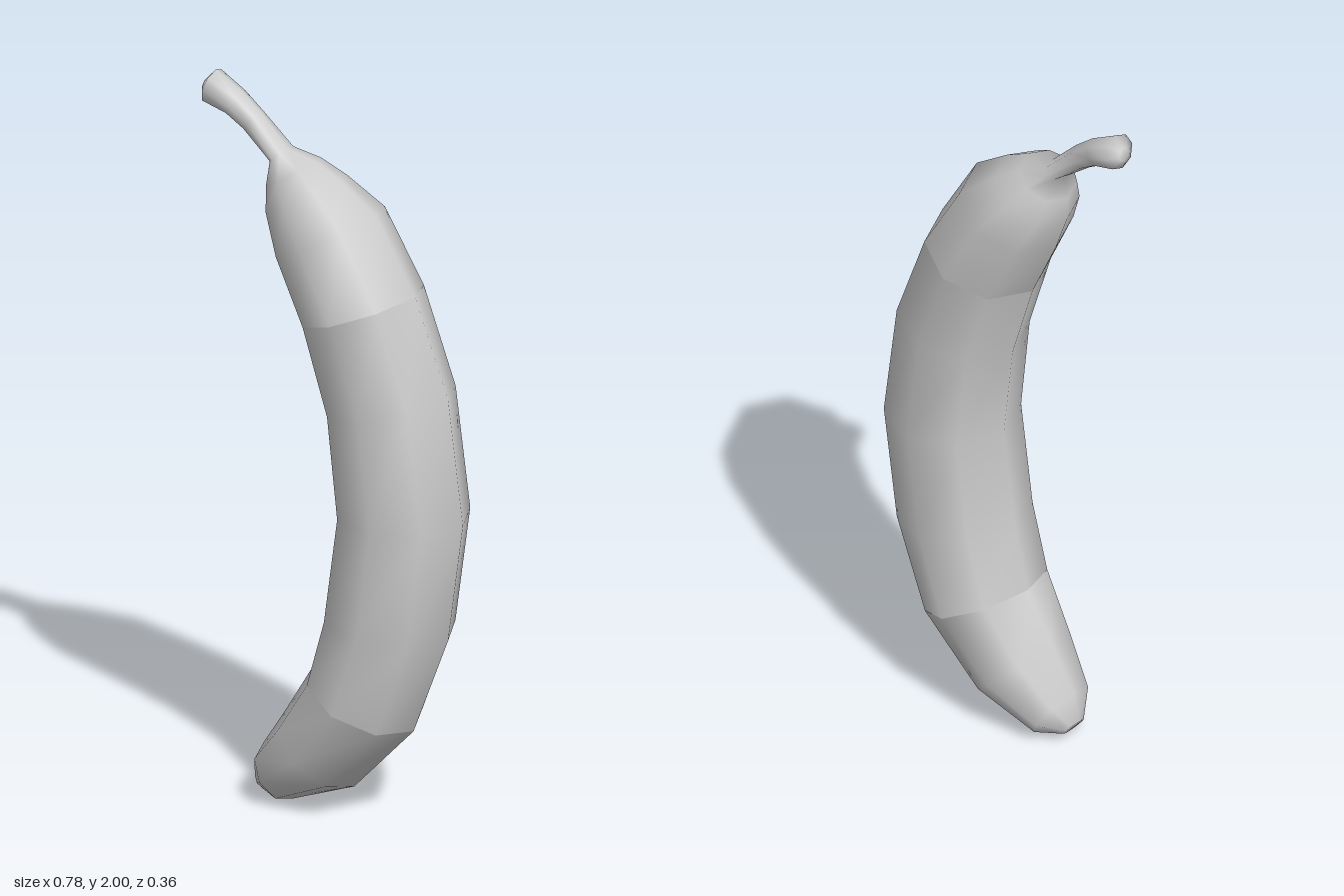
import * as THREE from 'three';

const SIDES = 8;
const material = new THREE.MeshStandardMaterial({ color: 0xcccccc, roughness: 0.8 });

// Each ring: [innerX, innerY, outerX, outerY, optional half width in z], listed bottom to top
const lowerSeam = [-0.055, 0.4, 0.24, 0.26, 0.175];
const upperSeam = [-0.07, 1.365, 0.245, 1.48, 0.175];

const bottomRings = [
  [-0.232, 0.06, -0.198, 0.014, 0.035],
  [-0.215, 0.14, -0.125, 0, 0.1],
  [-0.145, 0.25, 0.06, 0.07, 0.145],
  lowerSeam,
];
const bodyRings = [
  lowerSeam,
  [-0.01, 0.575, 0.345, 0.535],
  [0.03, 0.865, 0.39, 0.865],
  [0, 1.135, 0.345, 1.21],
  upperSeam,
];
const topRings = [
  upperSeam,
  [-0.15, 1.54, 0.125, 1.685, 0.165],
  [-0.19, 1.65, 0.02, 1.76, 0.12],
  [-0.193, 1.72, -0.055, 1.8, 0.085],
  [-0.182, 1.785, -0.14, 1.82, 0.05],
  [-0.268, 1.855, -0.222, 1.905, 0.038],
  [-0.318, 1.887, -0.282, 1.955, 0.042],
  [-0.385, 1.908, -0.36, 2, 0.052],
  [-0.393, 1.935, -0.387, 1.972, 0.02],
];

// Skin a row of octagonal rings, optionally closing either end
function skin(name, rings, capStart, capEnd) {
  const positions = [];
  const index = [];
  const center = ([ix, iy, ox, oy]) => [(ix + ox) / 2, (iy + oy) / 2, 0];

  for (const ring of rings) {
    const [ix, iy, ox, oy, width] = ring;
    const [cx, cy] = center(ring);
    const depth = width ?? Math.hypot(ox - ix, oy - iy) / 2;
    for (let j = 0; j < SIDES; j++) {
      const a = (j / SIDES) * Math.PI * 2;
      positions.push(
        cx + ((ox - ix) / 2) * Math.cos(a),
        cy + ((oy - iy) / 2) * Math.cos(a),
        depth * Math.sin(a),
      );
    }
  }
  for (let i = 0; i < rings.length - 1; i++) {
    for (let j = 0; j < SIDES; j++) {
      const k = (j + 1) % SIDES;
      const a = i * SIDES + j, b = i * SIDES + k;
      index.push(a, a + SIDES, b, b, a + SIDES, b + SIDES);
    }
  }
  const cap = (i, flip) => {
    const c = positions.length / 3;
    positions.push(...center(rings[i]));
    for (let j = 0; j < SIDES; j++) {
      const a = i * SIDES + j, b = i * SIDES + ((j + 1) % SIDES);
      index.push(c, flip ? b : a, flip ? a : b);
    }
  };
  if (capStart) cap(0, false);
  if (capEnd) cap(rings.length - 1, true);

  const geometry = new THREE.BufferGeometry();
  geometry.setAttribute('position', new THREE.Float32BufferAttribute(positions, 3));
  geometry.setIndex(index);
  geometry.computeVertexNormals();
  const mesh = new THREE.Mesh(geometry, material);
  mesh.name = name;
  return mesh;
}

export function createModel() {
  const group = new THREE.Group();
  group.name = 'banana';
  // Separate sections keep a shading crease at each seam
  group.add(
    skin('bottomTip', bottomRings, true, false),
    skin('body', bodyRings, false, false),
    skin('neckAndStem', topRings, false, true),
  );
  return group;
}
